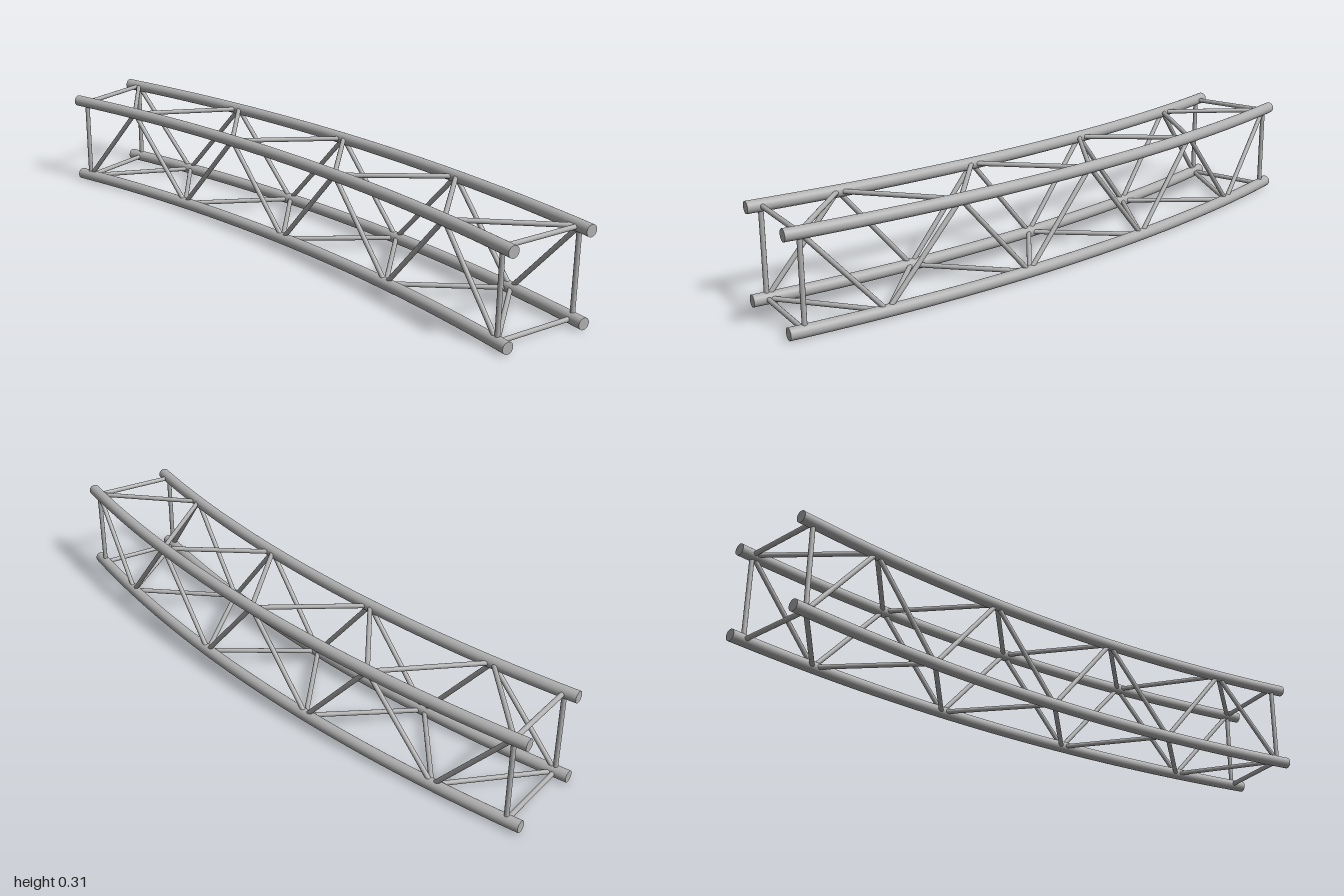
import * as THREE from 'three';

// Curved box truss: four arc chords about a shared centre, joined by zigzag braces
const CENTRE_X = -4.885, START_Z = 1;
const RADII = { inner: 4.935, outer: 5.208 };
const LEVELS = { bottom: 0.0185, top: 0.2925 };
const SWEEP = Math.PI / 8;
const CHORD_R = 0.0185, BRACE_R = 0.0075;
const BAYS = 8, INSET = THREE.MathUtils.degToRad(0.5);

function arcPoint(side, level, angle, target = new THREE.Vector3()) {
  const r = RADII[side];
  return target.set(CENTRE_X + r * Math.cos(angle), LEVELS[level], START_Z - r * Math.sin(angle));
}

class ChordCurve extends THREE.Curve {
  constructor(side, level) {
    super();
    this.side = side;
    this.level = level;
  }
  getPoint(t, target) {
    return arcPoint(this.side, this.level, t * SWEEP, target);
  }
}

export function createModel() {
  const steel = new THREE.MeshStandardMaterial({ color: 0xb0b0b0 });
  steel.name = 'grey steel';
  const group = new THREE.Group();
  group.name = 'curvedTruss';

  const add = (geometry, name) => {
    const mesh = new THREE.Mesh(geometry, steel);
    mesh.name = name;
    group.add(mesh);
    return mesh;
  };

  // Straight rod between two joints
  const rod = (a, b, name) => {
    const dir = b.clone().sub(a);
    const mesh = add(new THREE.CylinderGeometry(BRACE_R, BRACE_R, dir.length(), 16), name);
    mesh.position.copy(a).add(b).multiplyScalar(0.5);
    mesh.quaternion.setFromUnitVectors(new THREE.Vector3(0, 1, 0), dir.normalize());
  };

  const joint = (side, level, k) =>
    arcPoint(side, level, INSET + (k / BAYS) * (SWEEP - 2 * INSET));

  // Main chords with closed ends
  for (const side of ['inner', 'outer']) {
    for (const level of ['bottom', 'top']) {
      const curve = new ChordCurve(side, level);
      add(new THREE.TubeGeometry(curve, 48, CHORD_R, 24, false), `${side}${level}Chord`);
      for (const end of [0, 1]) {
        const cap = add(new THREE.CircleGeometry(CHORD_R, 24), 'chordEndCap');
        cap.position.copy(curve.getPoint(end));
        cap.rotation.y = end ? Math.PI + SWEEP : 0;
      }
    }
  }

  // Square frames at both ends
  for (const k of [0, BAYS]) {
    for (const side of ['inner', 'outer']) rod(joint(side, 'bottom', k), joint(side, 'top', k), 'endPost');
    for (const level of ['bottom', 'top']) rod(joint('inner', level, k), joint('outer', level, k), 'endCrossbar');
  }

  // Zigzag diagonals on all four faces, meeting at shared joints
  const zigzag = (even, odd, name) => {
    for (let k = 0; k < BAYS; k++) {
      const [a, b] = k % 2 ? [odd, even] : [even, odd];
      rod(joint(...a, k), joint(...b, k + 1), name);
    }
  };
  zigzag(['outer', 'top'], ['outer', 'bottom'], 'outerDiagonal');
  zigzag(['inner', 'bottom'], ['inner', 'top'], 'innerDiagonal');
  zigzag(['outer', 'top'], ['inner', 'top'], 'topDiagonal');
  zigzag(['inner', 'bottom'], ['outer', 'bottom'], 'bottomDiagonal');

  return group;
}
